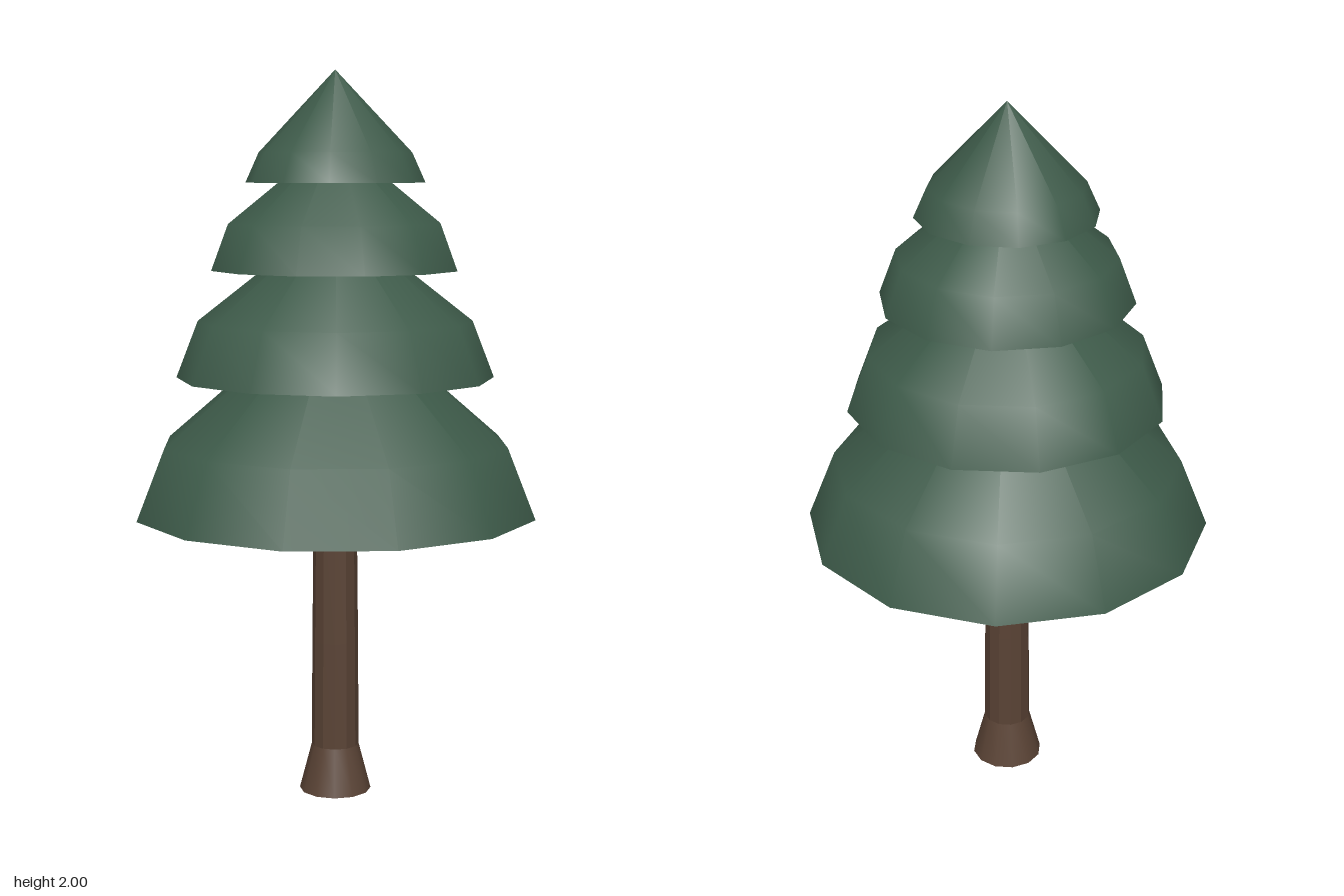
import * as THREE from 'three';

const SIDES = 12;

export function createModel() {
  const tree = new THREE.Group();
  tree.name = 'pineTree';

  const needles = new THREE.MeshStandardMaterial({ color: 0x3d5a49, side: THREE.DoubleSide });
  needles.name = 'needle green';
  const bark = new THREE.MeshStandardMaterial({ color: 0x5a4335, side: THREE.DoubleSide });
  bark.name = 'bark brown';

  const add = (name, geometry, material) => {
    const mesh = new THREE.Mesh(geometry, material);
    mesh.name = name;
    tree.add(mesh);
    return mesh;
  };
  const lathe = (points, turn = 0) => new THREE.LatheGeometry(
    points.map(([r, y]) => new THREE.Vector2(r, y)), SIDES, THREE.MathUtils.degToRad(turn));

  // Trunk: faceted and slightly tapered, running up inside the second tier
  const trunk = lathe([[0.066, 0.13], [0.064, 0.43], [0.06, 0.8], [0.05, 1.5]]).toNonIndexed();
  trunk.computeVertexNormals();
  add('trunk', trunk, bark);

  // Flared foot, open underneath
  add('trunkFoot', lathe([[0.1, 0], [0.066, 0.13]]), bark);

  // Branch tiers: hollow skirts, each turned a little differently
  const tiers = [
    { rim: [0.558, 0.795], shoulder: [0.48, 0.99], tip: 1.4, turn: 17.5 },
    { rim: [0.436, 1.17], shoulder: [0.376, 1.325], tip: 1.62, turn: 1.5 },
    { rim: [0.342, 1.465], shoulder: [0.295, 1.59], tip: 1.825, turn: 14 },
    { rim: [0.244, 1.7], shoulder: [0.208, 1.78], tip: 2, turn: -2.4 },
  ];
  tiers.forEach(({ rim, shoulder, tip, turn }, i) => {
    add(`branchTier${i + 1}`, lathe([rim, shoulder, [0, tip]], turn), needles);
  });

  // Flat underside closing the lowest tier
  const [{ rim, turn }] = tiers;
  const underside = new THREE.CircleGeometry(rim[0], SIDES);
  underside.rotateX(Math.PI / 2);
  underside.rotateY(THREE.MathUtils.degToRad(turn));
  underside.translate(0, rim[1], 0);
  add('lowestTierUnderside', underside, needles);

  return tree;
}
